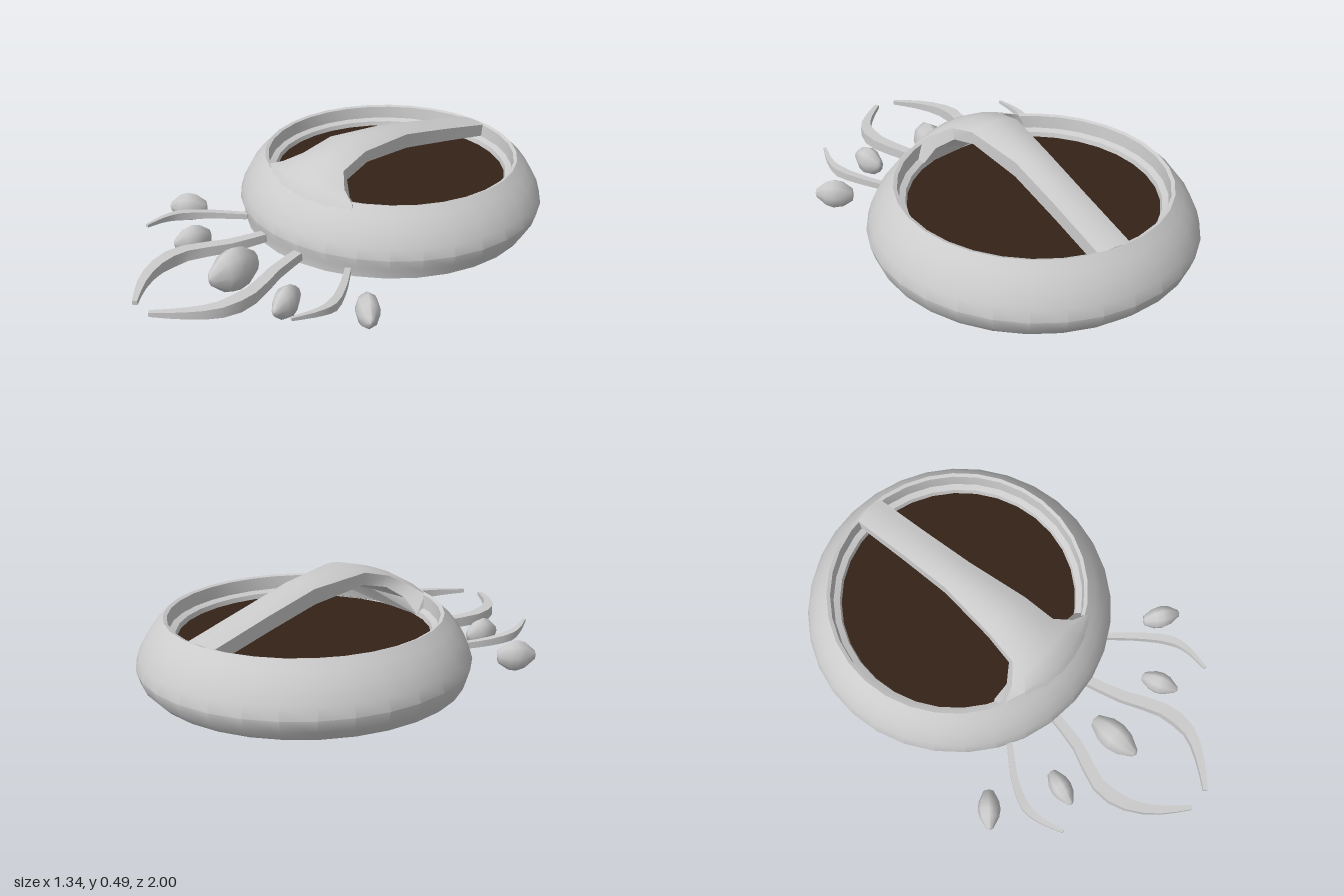
import * as THREE from 'three';
import { toCreasedNormals } from 'three/addons/utils/BufferGeometryUtils.js';

const grey = new THREE.MeshStandardMaterial({ color: 0xcccccc });
const brown = new THREE.MeshStandardMaterial({ color: 0x352217 });

function add(group, name, geometry, material = grey) {
  const mesh = new THREE.Mesh(geometry, material);
  mesh.name = name;
  group.add(mesh);
  return mesh;
}

// Skin closed rings of [x, y, z] points (counter-clockwise seen from ahead), with end caps
function loft(rings, crease) {
  const n = rings[0].length, index = [];
  for (let i = 0; i < rings.length - 1; i++) {
    for (let j = 0; j < n; j++) {
      const a = i * n + j, b = i * n + (j + 1) % n;
      index.push(a, b, a + n, b, b + n, a + n);
    }
  }
  const last = (rings.length - 1) * n;
  for (let j = 1; j < n - 1; j++) {
    index.push(0, j + 1, j, last, last + j, last + j + 1);
  }
  const g = new THREE.BufferGeometry();
  g.setAttribute('position', new THREE.Float32BufferAttribute(rings.flat(2), 3));
  g.setIndex(index);
  return toCreasedNormals(g, crease);
}

// Hollow round body: flat base, bulging wall, rim and stepped inside
function bodyGeometry() {
  const profile = [
    [0, 0.085], [0.635, 0.085], [0.655, 0.125], [0.67, 0.175], [0.655, 0.225],
    [0.625, 0.28], [0.59, 0.325], [0.555, 0.36], [0.54, 0.355], [0.535, 0.3], [0.51, 0.29], [0.5, 0.25],
  ].map(p => new THREE.Vector2(...p));
  const g = new THREE.LatheGeometry(profile, 32);
  const pos = g.attributes.position;
  // the base sits slightly forward of the rim
  for (let i = 0; i < pos.count; i++) {
    if (pos.getY(i) < 0.1) pos.setZ(i, pos.getZ(i) + 0.018);
  }
  return toCreasedNormals(g, 0.6);
}

// Handle: crowned strip that flares into the front rim and narrows to the back
function handleGeometry() {
  // [z, top y, half width, crown, bow, bottom y, bottom z shift]
  const rows = [
    [0.255, 0.31, 0.28, 0.01, 0.07, 0.27, -0.07],
    [0.218, 0.392, 0.26, 0.035, 0.06, 0.28, -0.06],
    [0.155, 0.428, 0.19, 0.04, 0.02, 0.34, -0.03],
    [0.08, 0.455, 0.125, 0.025, 0, 0.385, -0.02],
    [-0.06, 0.495, 0.108, 0.025, 0, 0.42, -0.01],
    [-0.34, 0.473, 0.076, 0.015, 0, 0.395, 0],
    [-0.6, 0.42, 0.071, 0.01, 0, 0.35, 0],
    [-0.88, 0.36, 0.07, 0.005, 0, 0.3, 0],
  ];
  const steps = [-1, -0.67, -0.33, 0, 0.33, 0.67, 1];
  const rings = rows.map(([z, y, w, crown, bow, yb, dz]) => {
    const top = steps.map(t => [0.015 + t * w, y - crown * t * t, z - bow * t * t]);
    const bottom = [1, 0, -1].map(t => [0.015 + t * w, yb, z + dz - bow * t * t]);
    return [...top, ...bottom];
  });
  return loft(rings, 0.7);
}

// Tendril: rectangular strip along a curve, tapering to its tip
function tendrilGeometry(points, y0, y1, width, thickness) {
  const curve = new THREE.CatmullRomCurve3(points.map(([x, z], i) =>
    new THREE.Vector3(x, y0 + (y1 - y0) * i / (points.length - 1), z)));
  const rings = [];
  for (let i = 0; i <= 10; i++) {
    const t = i / 10, p = curve.getPoint(t), d = curve.getTangent(t);
    const taper = t < 0.5 ? 0.7 + 0.6 * t : 1 - 1.3 * (t - 0.5);
    const w = width * taper / 2, h = thickness * taper / 2;
    const len = Math.hypot(d.x, d.z), sx = d.z / len, sz = -d.x / len;
    rings.push([[1, -1], [1, 1], [-1, 1], [-1, -1]].map(([a, b]) =>
      [p.x + sx * w * a, p.y + h * b, p.z + sz * w * a]));
  }
  return loft(rings, 0.6);
}

// Pod: eight-sided, widest at the middle, pointed to the front
function podGeometry(width, height, length) {
  const profile = [[0, -1], [0.45, -0.92], [0.9, -0.4], [1, 0], [0.85, 0.4], [0.3, 0.92], [0, 1]]
    .map(p => new THREE.Vector2(...p));
  return new THREE.LatheGeometry(profile, 8).rotateX(Math.PI / 2).scale(width, height, length);
}

export function createModel() {
  const model = new THREE.Group();
  model.name = 'basket';

  add(model, 'body', bodyGeometry()).position.z = -0.333;
  const filling = add(model, 'filling', new THREE.CylinderGeometry(0.515, 0.515, 0.02, 32), brown);
  filling.position.set(0, 0.26, -0.345);
  add(model, 'handle', handleGeometry());

  // Two long tendrils in front and a shorter one to each side
  const inner = [
    [[-0.09, 0.27], [-0.13, 0.47], [-0.2, 0.64], [-0.185, 0.78], [-0.11, 0.9], [-0.015, 0.99]],
    [[0.11, 0.27], [0.165, 0.47], [0.235, 0.64], [0.235, 0.78], [0.17, 0.89], [0.08, 0.99]],
  ];
  const outer = [
    [[-0.31, 0.24], [-0.42, 0.37], [-0.475, 0.48], [-0.475, 0.56], [-0.45, 0.66]],
    [[0.33, 0.23], [0.43, 0.35], [0.505, 0.47], [0.515, 0.55], [0.495, 0.66]],
  ];
  inner.forEach(p => add(model, 'innerTendril', tendrilGeometry(p, 0.12, 0.122, 0.055, 0.05)));
  outer.forEach(p => add(model, 'outerTendril', tendrilGeometry(p, 0.11, 0.155, 0.035, 0.035)));

  // Pods fanned out around the front: [x, y, z, turn, width, height, length]
  const pods = [
    [0.012, 0.103, 0.558, 0, 0.065, 0.1, 0.118],
    [-0.308, 0.098, 0.53, -0.3, 0.046, 0.07, 0.083],
    [0.33, 0.098, 0.55, 0.32, 0.046, 0.07, 0.083],
    [-0.578, 0.097, 0.365, -0.8, 0.048, 0.07, 0.085],
    [0.578, 0.097, 0.36, 0.95, 0.048, 0.07, 0.085],
  ];
  for (const [x, y, z, turn, w, h, l] of pods) {
    const pod = add(model, 'pod', podGeometry(w, h, l));
    pod.position.set(x, y, z);
    pod.rotation.y = turn;
  }
  return model;
}
